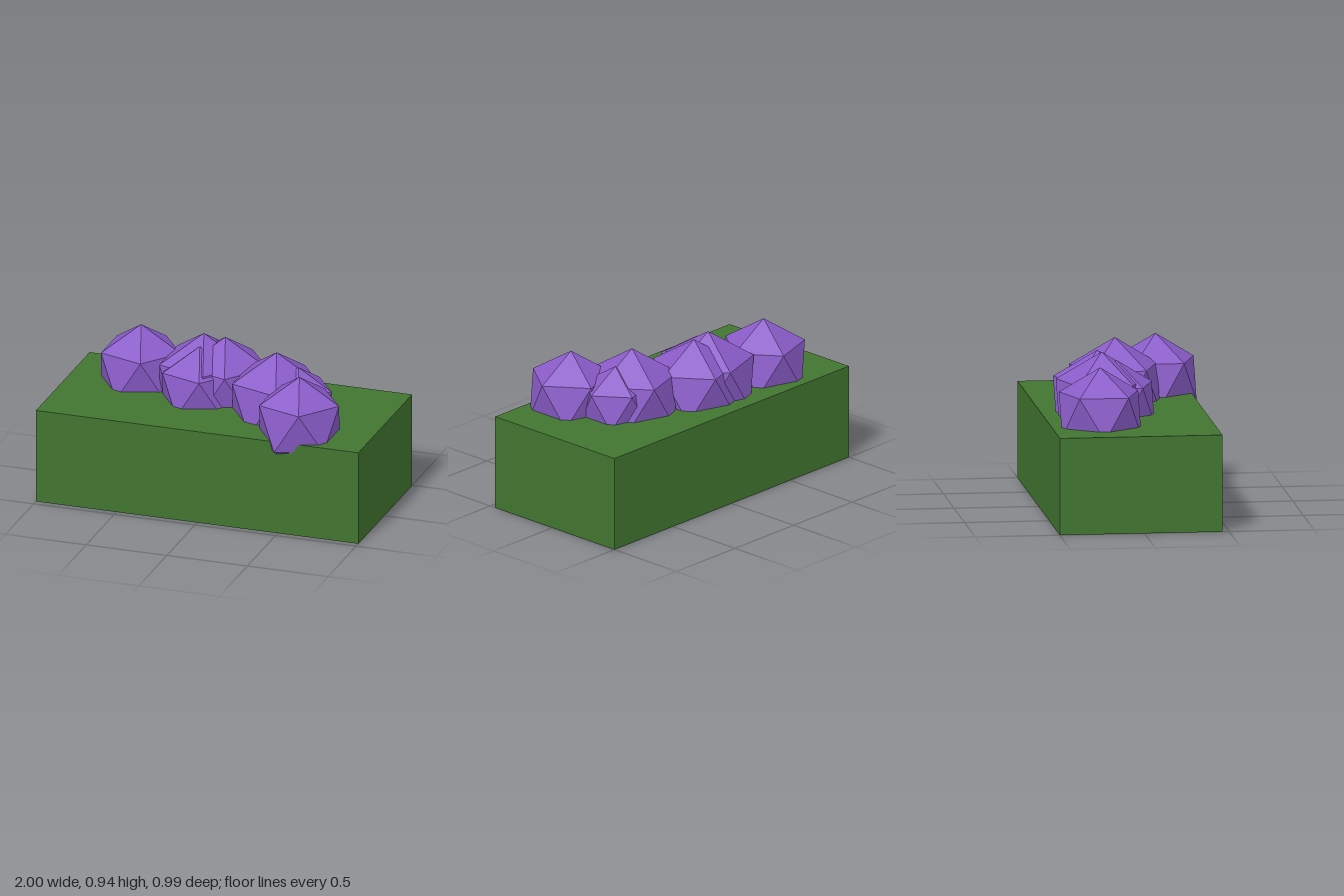
import * as THREE from 'three';

export function createModel() {
  const group = new THREE.Group();
  group.name = 'hedgePlanter';

  // Solid green block
  const green = new THREE.MeshStandardMaterial({ color: 0x417530, flatShading: true });
  const block = new THREE.Mesh(new THREE.BoxGeometry(2, 0.575, 0.96), green);
  block.name = 'grassBlock';
  block.position.set(0, 0.2875, -0.02);
  group.add(block);

  // Faceted bush, turned so one corner points straight up and one ring corner points to +x
  const purple = new THREE.MeshStandardMaterial({ color: 0x8a5cc9, flatShading: true });
  const bushGeometry = new THREE.IcosahedronGeometry(1, 0);
  bushGeometry.rotateZ(-Math.atan(2 / (1 + Math.sqrt(5))));

  // x, y, z, radius of each bush along the diagonal row
  const bushes = [
    [-0.58, 0.644, -0.21, 0.275],
    [-0.17, 0.636, -0.15, 0.305],
    [-0.04, 0.636, -0.16, 0.294],
    [-0.165, 0.634, -0.063, 0.256],
    [0.33, 0.635, -0.01, 0.305],
    [0.467, 0.635, -0.005, 0.23],
    [0.565, 0.644, 0.26, 0.275],
  ];
  bushes.forEach(([x, y, z, radius], i) => {
    const bush = new THREE.Mesh(bushGeometry, purple);
    bush.name = `bush${i + 1}`;
    bush.position.set(x, y, z);
    bush.scale.setScalar(radius);
    group.add(bush);
  });

  return group;
}
